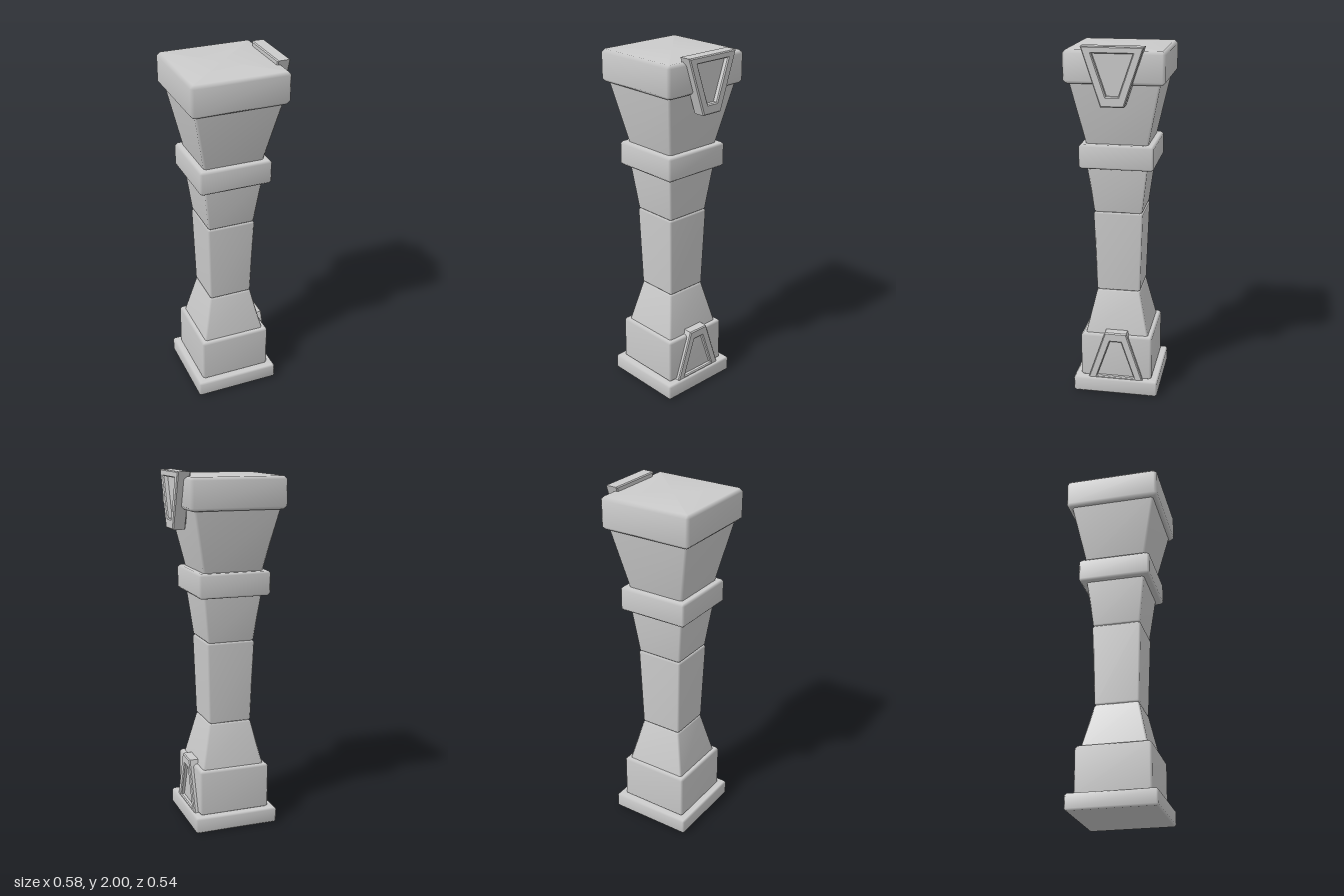
import * as THREE from 'three';

const material = new THREE.MeshStandardMaterial({ color: 0xcccccc });
const AXIS_X = -0.02; // the column stands slightly left of the emblems

// Square block with chamfered edges; h0 and h1 are the half widths at bottom and top
function block(name, y0, y1, h0, h1, c) {
  const rows = [[y0, h0 - c, c * 0.3], [y0 + c, h0, c], [y1 - c, h1, c], [y1, h1 - c, c * 0.3]];
  const pos = [], idx = [];
  for (const [y, h, k] of rows) {
    const ring = [[h, h - k], [h - k, h], [k - h, h], [-h, h - k], [-h, k - h], [k - h, -h], [h - k, -h], [h, k - h]];
    for (const [x, z] of ring) pos.push(x, y, z);
  }
  pos.push(0, y0, 0, 0, y1, 0);
  for (let i = 0; i < 8; i++) {
    const j = (i + 1) % 8;
    for (let r = 0; r < 3; r++) {
      const a = r * 8 + i, b = r * 8 + j;
      idx.push(a, a + 8, b, b, a + 8, b + 8);
    }
    idx.push(32, i, j, 33, 24 + j, 24 + i);
  }
  const geo = new THREE.BufferGeometry();
  geo.setAttribute('position', new THREE.Float32BufferAttribute(pos, 3));
  geo.setIndex(idx);
  geo.computeVertexNormals(); // large faces dominate, so chamfers shade softly
  const mesh = new THREE.Mesh(geo, material);
  mesh.name = name;
  mesh.position.x = AXIS_X;
  return mesh;
}

// Points of a trapezoid, wide at the top
const trapezoid = (top, yTop, bottom, yBottom) => [
  new THREE.Vector2(-bottom, yBottom), new THREE.Vector2(bottom, yBottom),
  new THREE.Vector2(top, yTop), new THREE.Vector2(-top, yTop),
];

// Trapezoid frame around a recessed panel, facing +x
function emblem(name) {
  const group = new THREE.Group();
  group.name = name;
  const hole = trapezoid(0.108, 0.12, 0.032, -0.1);
  const outline = new THREE.Shape(trapezoid(0.165, 0.155, 0.062, -0.155));
  outline.holes.push(new THREE.Path(hole));
  const bevel = 0.006;
  const frameGeo = new THREE.ExtrudeGeometry(outline, {
    depth: 0.073 - 2 * bevel, bevelThickness: bevel, bevelSize: bevel, bevelOffset: -bevel, bevelSegments: 1,
  }).translate(0, 0, bevel).rotateY(Math.PI / 2);
  const frame = new THREE.Mesh(frameGeo, material);
  frame.name = 'emblemFrame';
  const panelShape = new THREE.Shape(trapezoid(0.118, 0.128, 0.038, -0.108));
  const panelGeo = new THREE.ExtrudeGeometry(panelShape, { depth: 0.044, bevelEnabled: false });
  const panel = new THREE.Mesh(panelGeo.translate(0, 0, 0.002).rotateY(Math.PI / 2), material);
  panel.name = 'emblemPanel';
  group.add(frame, panel);
  return group;
}

export function createModel() {
  const model = new THREE.Group();
  model.name = 'column';

  // Stacked blocks from the ground up
  model.add(
    block('plinth', 0, 0.09, 0.243, 0.243, 0.01),
    block('base', 0.085, 0.35, 0.205, 0.205, 0.012),
    block('lowerTaper', 0.335, 0.6, 0.18, 0.125, 0.01),
    block('shaft', 0.597, 1.068, 0.124, 0.138, 0.01),
    block('upperTaper', 1.066, 1.345, 0.135, 0.167, 0.01),
    block('collar', 1.33, 1.465, 0.205, 0.205, 0.012),
    block('capital', 1.45, 1.815, 0.17, 0.242, 0.012),
    block('cap', 1.8, 1.975, 0.27, 0.27, 0.017),
  );

  // Emblems on the +x side: upright on the cap, inverted on the base
  const upper = emblem('upperEmblem');
  upper.position.set(0.215, 1.845, 0);
  const lower = emblem('lowerEmblem');
  lower.position.set(0.134, 0.22, 0);
  lower.rotation.x = Math.PI;
  model.add(upper, lower);

  return model;
}
